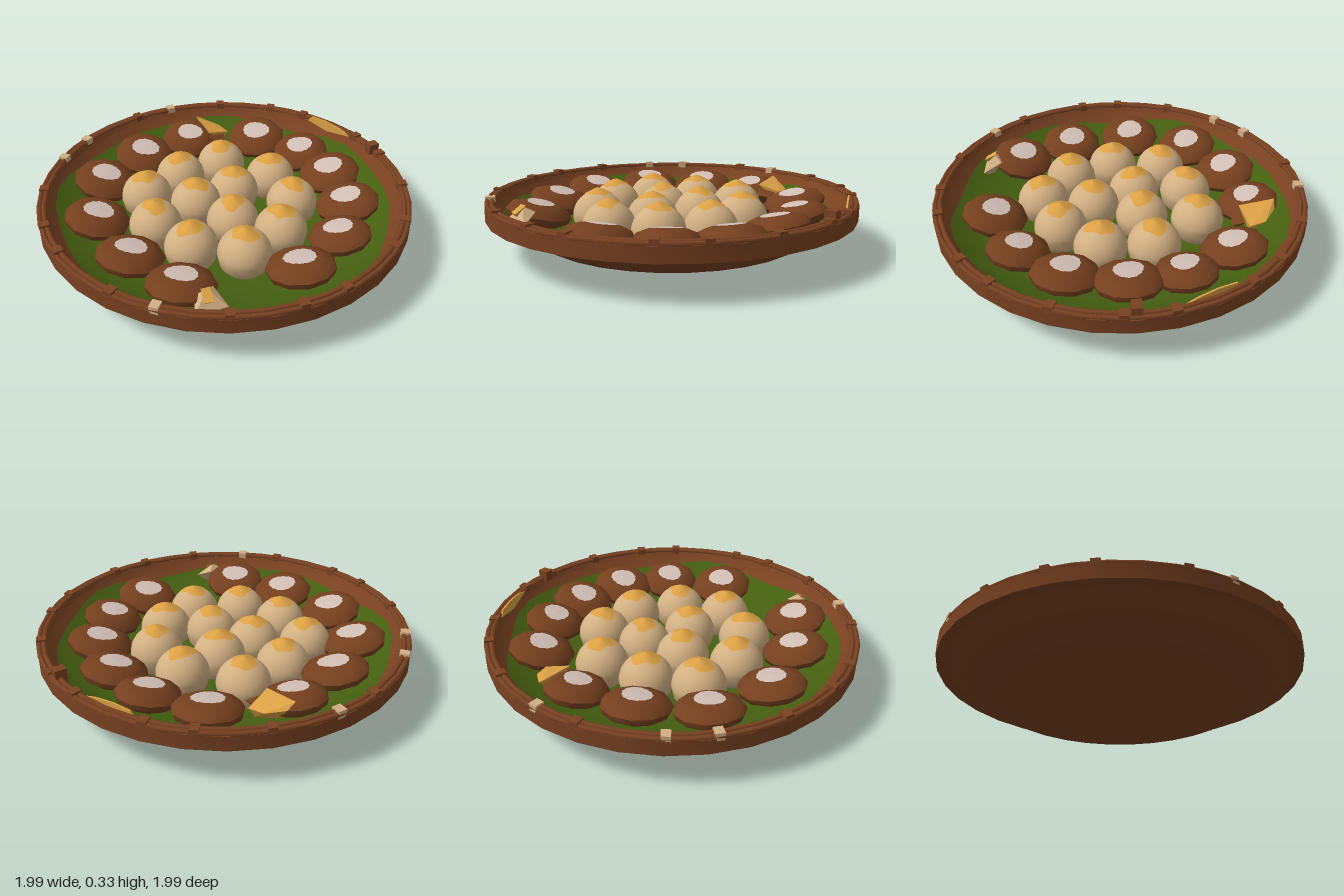
import * as THREE from 'three';
import { toCreasedNormals } from 'three/addons/utils/BufferGeometryUtils.js';
import { ConvexGeometry } from 'three/addons/geometries/ConvexGeometry.js';

const paint = (name, color, side = THREE.FrontSide) => {
  const m = new THREE.MeshStandardMaterial({ color, side });
  m.name = name;
  return m;
};
const basketBrown = paint('basket brown', 0x7a4222);
const cakeBrown = paint('cake brown', 0x75401f);
const leafGreen = paint('leaf green', 0x455f10, THREE.DoubleSide);
const doughTan = paint('dough tan', 0xd2b083);
const yolk = paint('yolk orange', 0xdba044, THREE.DoubleSide);
const icing = paint('icing white', 0xd2bfb6);

function add(parent, name, geometry, material) {
  const mesh = new THREE.Mesh(geometry, material);
  mesh.name = name;
  parent.add(mesh);
  return mesh;
}

function lathe(points, segments, crease) {
  const g = new THREE.LatheGeometry(points.map(([r, y]) => new THREE.Vector2(r, y)), segments);
  return crease ? toCreasedNormals(g, crease) : g;
}

// Irregular round patch draped over a height rule
function patch(radius, height, seed, wobble, frequency) {
  const g = new THREE.RingGeometry(0, radius, 40, 5);
  g.rotateX(-Math.PI / 2);
  const p = g.attributes.position;
  for (let i = 0; i < p.count; i++) {
    const a = Math.atan2(p.getZ(i), p.getX(i));
    const k = 1 + wobble * (Math.sin(3 * a + seed * 2.1) * 0.6 + Math.sin(2 * a + seed)
      + 0.5 * Math.sin(frequency * a + seed * 3.7));
    const x = p.getX(i) * k, z = p.getZ(i) * k;
    p.setXYZ(i, x, height(Math.hypot(x, z)), z);
  }
  g.computeVertexNormals();
  return g;
}

function buildBasket(root) {
  const basket = new THREE.Group();
  basket.name = 'basket';
  root.add(basket);
  add(basket, 'bowlOutside', lathe(
    [[0, 0], [0.46, 0], [0.72, 0.065], [0.87, 0.15], [0.94, 0.2]], 32, 0.7), basketBrown);
  add(basket, 'bowlInside', lathe(
    [[0.955, 0.28], [0.9, 0.2], [0.83, 0.15], [0.6, 0.075], [0.4, 0.04], [0, 0.03]], 32), basketBrown);
  add(basket, 'rimBand', lathe(
    [[0.92, 0.2], [0.995, 0.195], [0.995, 0.272], [0.975, 0.28], [0.95, 0.275], [0.91, 0.21]], 32, 0.6), basketBrown);
  // Two round canes along the top of the rim
  for (const [r, y] of [[0.958, 0.281], [0.983, 0.278]]) {
    const cane = new THREE.TorusGeometry(r, 0.013, 6, 40);
    cane.rotateX(Math.PI / 2);
    cane.translate(0, y, 0);
    add(basket, 'rimCane', cane, basketBrown);
  }
  // Ties around the rim, a few of them pale
  const pale = [8, 13, 14, 16];
  let n = 0;
  for (let q = 0; q < 4; q++) {
    for (const d of [12, 25.5, 45, 64.5, 78]) {
      const a = (q * 90 + d) * Math.PI / 180;
      const tie = add(basket, 'rimTie', new THREE.BoxGeometry(0.05, 0.04, 0.045),
        pale.includes(n++) ? doughTan : basketBrown);
      tie.position.set(Math.cos(a) * 0.967, 0.28, Math.sin(a) * 0.967);
      tie.rotation.y = -a;
    }
  }
  const tall = add(basket, 'rimTie', new THREE.BoxGeometry(0.06, 0.06, 0.05), basketBrown);
  tall.position.set(0.88, 0.3, 0.36);
  tall.rotation.y = -0.39;
}

function buildLeaf(root) {
  const g = lathe([[0.9, 0.213], [0.83, 0.163], [0.72, 0.12], [0.6, 0.088], [0.4, 0.054], [0, 0.045]], 36);
  const p = g.attributes.position;
  for (let i = 0; i < p.count; i++) {
    const a = Math.atan2(p.getZ(i), p.getX(i));
    const r = Math.hypot(p.getX(i), p.getZ(i));
    const k = r > 0.86 ? 1 + 0.015 * Math.sin(5 * a) + 0.01 * Math.sin(8 * a + 1) : 1;
    p.setXYZ(i, p.getX(i) * k, p.getY(i) + (k - 1) * 0.9, p.getZ(i) * k);
  }
  g.computeVertexNormals();
  add(root, 'leafLining', g, leafGreen);
}

// Pointed dome of a bun
const domeHeight = (r) => 0.14 * Math.sqrt(Math.max(0, 1 - (r / 0.14) ** 2))
  + 0.014 * Math.max(0, 1 - r / 0.05);

function buildBuns(root) {
  const spots = [[-0.23, -0.38], [0.04, -0.39], [0.3, -0.31], [-0.38, -0.14], [-0.09, -0.13], [0.14, -0.06],
    [0.39, 0], [-0.38, 0.13], [-0.07, 0.13], [0.28, 0.25], [-0.23, 0.36], [0.04, 0.37]];
  const profile = [[0, -0.11], [0.09, -0.1], [0.128, -0.055]];
  for (let i = 0; i <= 10; i++) {
    const r = 0.14 * Math.cos(i / 10 * Math.PI / 2);
    profile.push([Math.max(0, r), domeHeight(r)]);
  }
  const body = lathe(profile, 24);
  spots.forEach(([x, z], i) => {
    const bun = new THREE.Group();
    bun.name = 'bun';
    bun.position.set(x, 0.163, z);
    add(bun, 'bunDough', body, doughTan);
    add(bun, 'bunGlaze', patch(0.068, (r) => domeHeight(r) + 0.004, i + 1, 0.12, 5), yolk);
    root.add(bun);
  });
}

function buildCakes(root) {
  const spots = [[-0.33, -0.62], [0.01, -0.67], [0.33, -0.61], [0.63, -0.32], [0.68, -0.01], [0.61, 0.26],
    [0.435, 0.51], [0.17, 0.65], [-0.16, 0.66], [-0.64, 0.33], [-0.67, 0], [-0.59, -0.36]];
  const body = lathe([[0, -0.05], [0.12, -0.05], [0.165, -0.025], [0.175, 0.005], [0.155, 0.035],
    [0.1, 0.055], [0, 0.06]], 11, 0.75);
  const top = (r) => 0.064 - 0.05 * r;
  spots.forEach(([x, z], i) => {
    const cake = new THREE.Group();
    cake.name = 'roundCake';
    cake.position.set(x, 0.205, z);
    cake.rotation.set(0, Math.atan2(-z, x), 0.22);
    const size = [2, 4, 7].includes(i) ? 0.94 : 1;
    cake.scale.set(size, 1, size);
    add(cake, 'cakeBody', body, cakeBrown);
    add(cake, 'cakeIcing', patch(0.076, top, i + 2, 0.06, 13), icing);
    root.add(cake);
  });
}

const hull = (points) => new ConvexGeometry(points.map((p) => new THREE.Vector3(...p)));

function buildFillings(root) {
  // Exposed filling of the cut cake and its crust below
  add(root, 'cutFilling', hull([[0.46, 0.285, -0.68], [0.5, 0.25, -0.66], [0.55, 0.23, -0.57],
    [0.54, 0.22, -0.48], [0.4, 0.26, -0.5], [0.46, 0.16, -0.6], [0.51, 0.16, -0.5]]), yolk);
  add(root, 'cutCrust', hull([[0.39, 0.24, -0.51], [0.5, 0.22, -0.48], [0.47, 0.2, -0.42],
    [0.38, 0.2, -0.47], [0.43, 0.14, -0.5]]), cakeBrown);
  // Loose crumb beside a cake
  add(root, 'loosePiece', hull([[-0.68, 0.25, 0.46], [-0.58, 0.25, 0.48], [-0.59, 0.2, 0.59],
    [-0.74, 0.2, 0.52], [-0.64, 0.28, 0.5], [-0.65, 0.14, 0.52]]), doughTan);
  add(root, 'looseFilling', hull([[-0.66, 0.285, 0.48], [-0.62, 0.285, 0.5], [-0.65, 0.25, 0.56],
    [-0.69, 0.25, 0.53], [-0.66, 0.22, 0.52]]), yolk);
  // Slice leaning upright against the rim
  const shape = new THREE.Shape();
  [[-0.17, 0.2], [-0.16, 0.28], [-0.08, 0.3], [0.02, 0.31], [0.12, 0.305], [0.15, 0.27], [0.12, 0.2]]
    .forEach(([a, b], i) => (i ? shape.lineTo(a, b) : shape.moveTo(a, b)));
  const slice = new THREE.ExtrudeGeometry(shape, { depth: 0.009, bevelEnabled: false });
  slice.rotateY(Math.PI / 2);
  slice.translate(0.932, 0, 0);
  add(root, 'leaningSlice', slice, yolk);
}

export function createModel() {
  const root = new THREE.Group();
  root.name = 'bunBasket';
  buildBasket(root);
  buildLeaf(root);
  buildBuns(root);
  buildCakes(root);
  buildFillings(root);
  return root;
}
